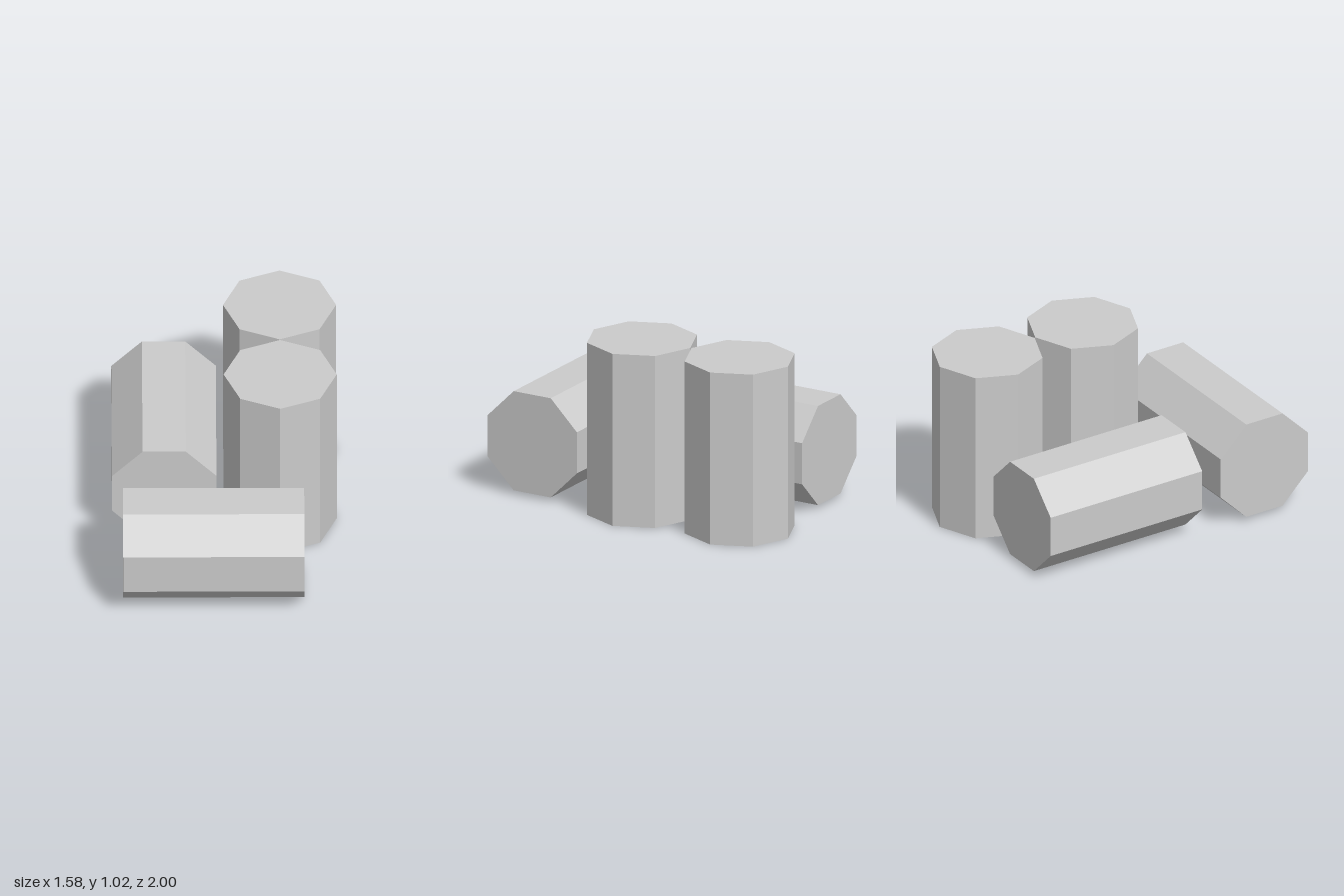
import * as THREE from 'three';

const RADIUS = 0.32;
const LENGTH = 1.025;
const deg = THREE.MathUtils.degToRad;

export function createModel() {
  const group = new THREE.Group();
  const material = new THREE.MeshStandardMaterial({ color: 0xcccccc, flatShading: true });

  // Eight-sided barrel, turned about the vertical
  function addBarrel(name, x, y, z, turn, lying) {
    const start = lying ? Math.PI / 8 : 0; // lying barrels rest on a flat side
    const geometry = new THREE.CylinderGeometry(RADIUS, RADIUS, LENGTH, 8, 1, false, start);
    if (lying) geometry.rotateZ(Math.PI / 2);
    const barrel = new THREE.Mesh(geometry, material);
    barrel.name = name;
    barrel.position.set(x, y, z);
    barrel.rotation.y = deg(turn);
    group.add(barrel);
  }

  // Two barrels standing upright
  addBarrel('standingBarrelBack', 0.475, LENGTH / 2, -0.572, -15, false);
  addBarrel('standingBarrelFront', 0.311, LENGTH / 2, 0.053, -15, false);

  // Two barrels lying on their sides, at right angles to each other
  addBarrel('lyingBarrelFront', -0.22, 0.322, 0.58, -14.8, true);
  addBarrel('lyingBarrelBack', -0.24, 0.322, -0.432, 75.2, true);

  return group;
}
